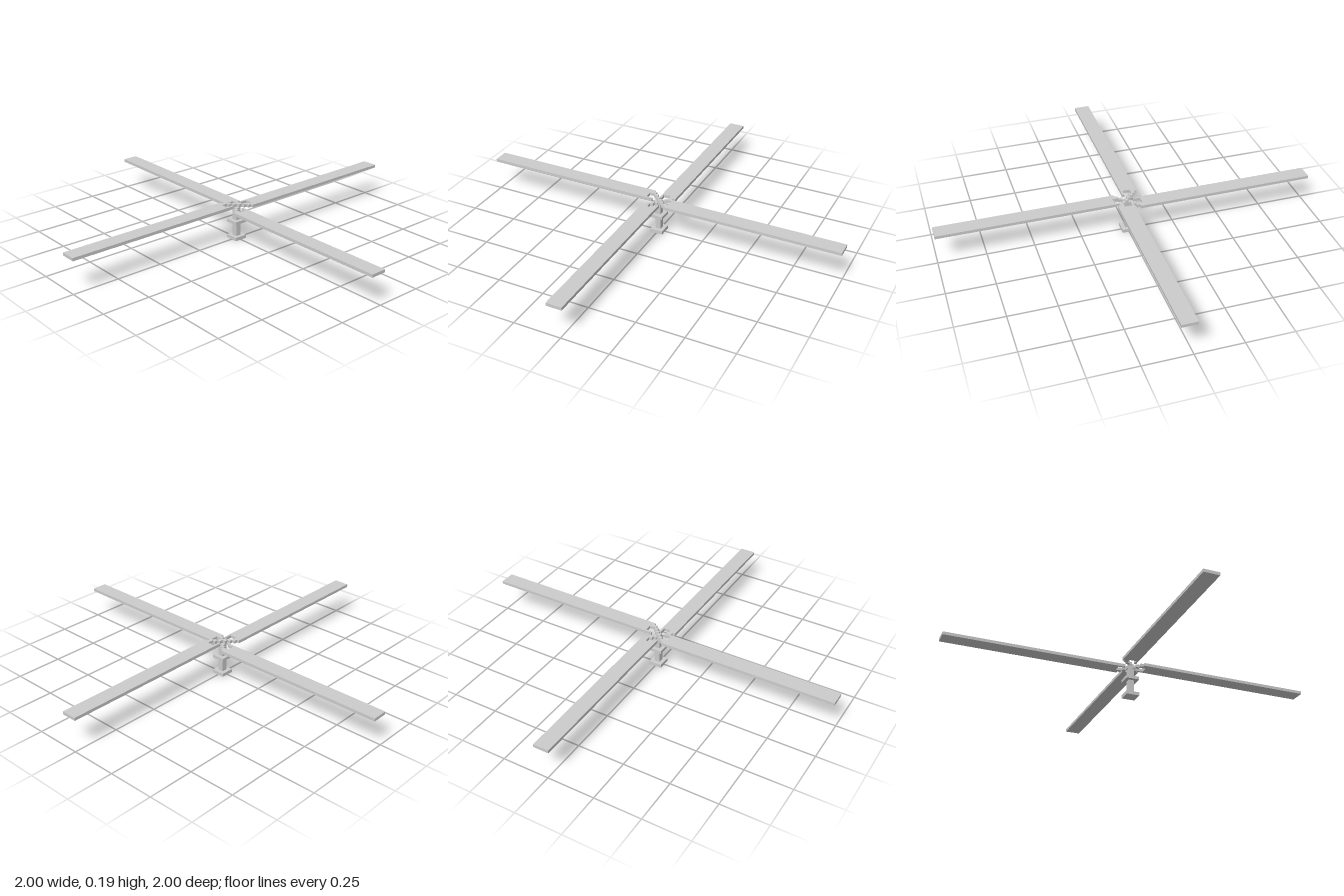
import * as THREE from 'three';

const material = new THREE.MeshStandardMaterial({ color: 0xcccccc, flatShading: true });

function addBox(parent, name, width, y0, y1) {
  const mesh = new THREE.Mesh(new THREE.BoxGeometry(width, y1 - y0, width), material);
  mesh.name = name;
  mesh.position.y = (y0 + y1) / 2;
  parent.add(mesh);
}

// Blade plan: a long plank whose root has a square notch and a stepped bracket to the hub
function bladeGeometry(thickness) {
  const outline = [
    [1, -0.016], [1, 0.067], [0.053, 0.067], [0.053, 0.053], [0.036, 0.053], [0.036, 0.036],
    [0.018, 0.036], [0.018, 0.018], [0, 0.018], [0, 0], [0.02, 0], [0.02, 0.018],
    [0.037, 0.018], [0.037, 0.034], [0.07, 0.034], [0.07, -0.005], [0.035, -0.005], [0.035, -0.016],
  ];
  const shape = new THREE.Shape(outline.map(([x, z]) => new THREE.Vector2(x, z)));
  const geometry = new THREE.ExtrudeGeometry(shape, { depth: thickness, bevelEnabled: false });
  return geometry.rotateX(Math.PI / 2);
}

export function createModel() {
  const model = new THREE.Group();
  model.name = 'rotor';

  // Square mast with foot and collar
  addBox(model, 'foot', 0.07, 0, 0.018);
  addBox(model, 'mast', 0.03, 0.018, 0.176);
  addBox(model, 'collar', 0.07, 0.091, 0.107);

  // Four blades in a pinwheel, the crossing pair one layer higher
  const thickness = 0.016;
  const geometry = bladeGeometry(thickness);
  for (let i = 0; i < 4; i++) {
    const blade = new THREE.Mesh(geometry, material);
    blade.name = 'blade' + (i + 1);
    blade.position.y = 0.16 + thickness * (1 + (i % 2));
    blade.rotation.y = i * Math.PI / 2;
    model.add(blade);
  }
  return model;
}
